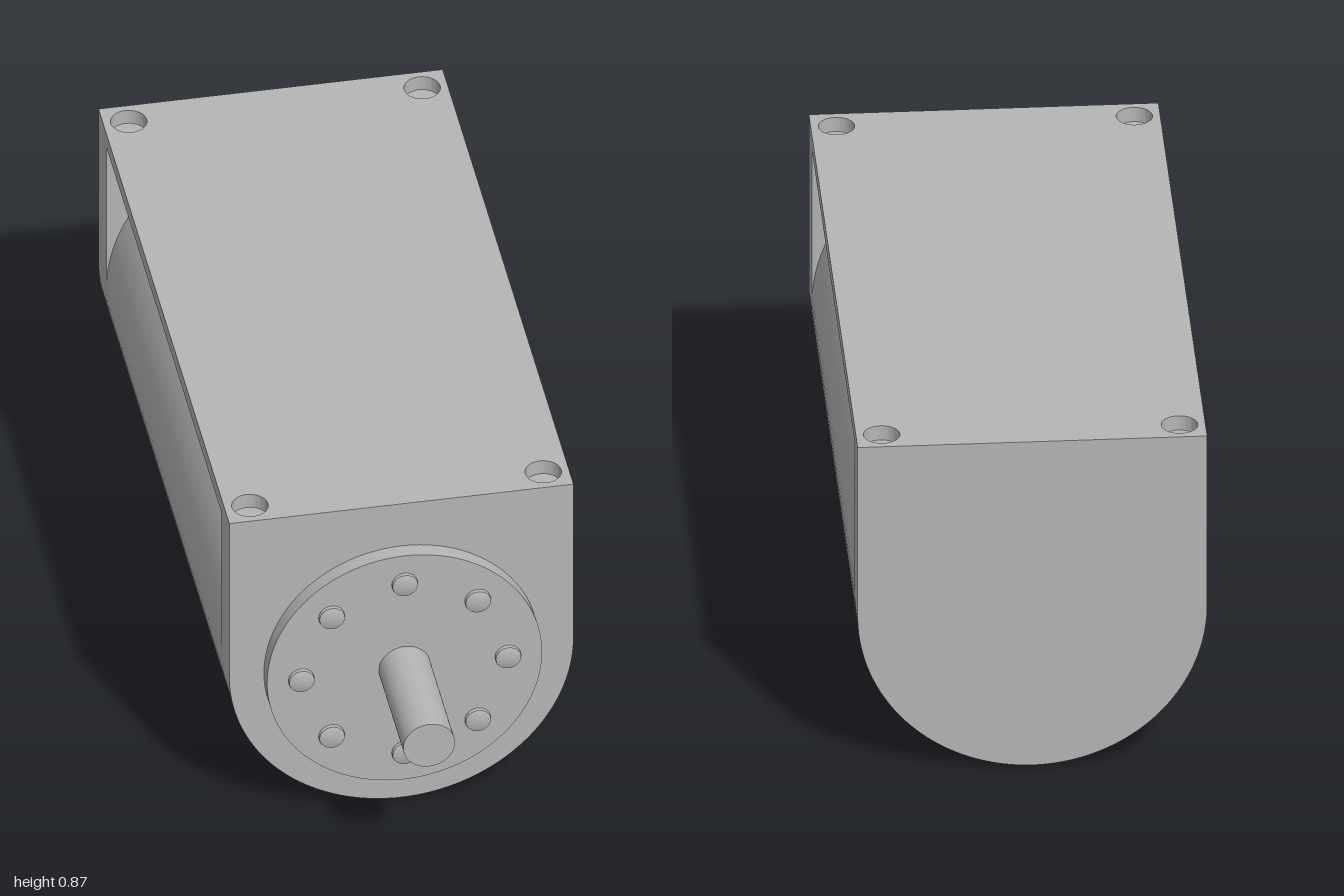
import * as THREE from 'three';
import { toCreasedNormals } from 'three/addons/utils/BufferGeometryUtils.js';

const R = 0.413;               // body radius, also the axis height
const TOP = 0.867, PLATE = 0.04;
const FRONT = 0.65, BACK = -1, WALL = 0.1;

export function createModel() {
  const model = new THREE.Group();
  model.name = 'motor';
  const metal = new THREE.MeshStandardMaterial({ color: 0xb6b6b6 });
  metal.name = 'grey metal';

  const add = (name, geometry, x = 0, y = 0, z = 0) => {
    const mesh = new THREE.Mesh(geometry, metal);
    mesh.name = name;
    mesh.position.set(x, y, z);
    model.add(mesh);
    return mesh;
  };
  const extrude = (shape, depth) => toCreasedNormals(
    new THREE.ExtrudeGeometry(shape, { depth, bevelEnabled: false, curveSegments: 48 }), 0.5);
  // cylinder along z, from z0 to z1 on the motor axis
  const rod = (name, radius, z0, z1) => add(name,
    new THREE.CylinderGeometry(radius, radius, z1 - z0, 96).rotateX(Math.PI / 2), 0, R, (z0 + z1) / 2);

  // end walls: round below, square above
  const wall = new THREE.Shape();
  wall.moveTo(R, TOP - PLATE);
  wall.lineTo(-R, TOP - PLATE);
  wall.lineTo(-R, R);
  wall.absarc(0, R, R, Math.PI, 2 * Math.PI, false);
  wall.closePath();
  const wallGeometry = extrude(wall, WALL);
  add('frontWall', wallGeometry, 0, 0, FRONT - WALL);
  add('backWall', wallGeometry, 0, 0, BACK);

  // barrel between the walls
  rod('barrel', R, BACK + WALL, FRONT - WALL);

  // mounting plate with four corner holes
  const plate = new THREE.Shape();
  plate.moveTo(-R, -FRONT);
  plate.lineTo(R, -FRONT);
  plate.lineTo(R, -BACK);
  plate.lineTo(-R, -BACK);
  plate.closePath();
  const holeRadius = 0.043, inset = 0.061;
  for (const x of [-R + inset, R - inset]) {
    for (const z of [BACK + inset, FRONT - inset]) {
      plate.holes.push(new THREE.Path().absarc(x, -z, holeRadius, 0, 2 * Math.PI, true));
      add('holeFloor', new THREE.CylinderGeometry(holeRadius, holeRadius, 0.002, 32), x, TOP - PLATE + 0.001, z);
    }
  }
  add('mountingPlate', extrude(plate, PLATE).rotateX(-Math.PI / 2), 0, TOP - PLATE, 0);

  // front flange and shaft
  const flangeFace = FRONT + 0.04;
  rod('flange', 0.33, FRONT, flangeFace);
  rod('shaft', 0.062, flangeFace, 1);

  // ring of eight bolt heads with softened rims
  const profile = [[0.031, 0], [0.031, 0.006], [0.0302, 0.009], [0.028, 0.01], [0, 0.01]]
    .map(([r, h]) => new THREE.Vector2(r, h));
  const bolt = toCreasedNormals(new THREE.LatheGeometry(profile, 32).rotateX(Math.PI / 2), 0.6);
  for (let i = 0; i < 8; i++) {
    const a = i * Math.PI / 4;
    add('bolt', bolt, 0.248 * Math.cos(a), R + 0.248 * Math.sin(a), flangeFace);
  }
  return model;
}
